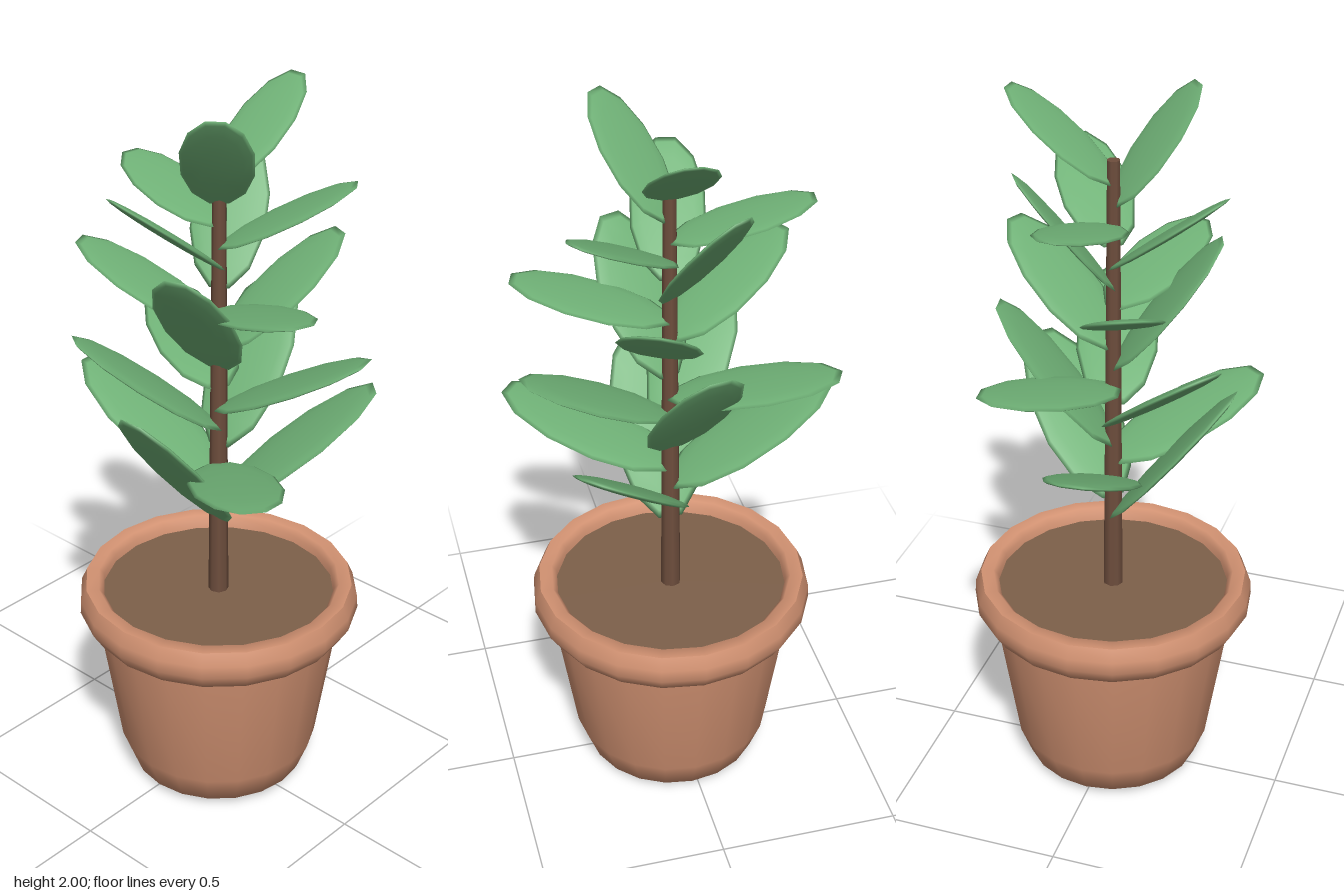
import * as THREE from 'three';
import { toCreasedNormals } from 'three/addons/utils/BufferGeometryUtils.js';

const material = (name, color) => {
  const m = new THREE.MeshStandardMaterial({ color });
  m.name = name;
  return m;
};

export function createModel() {
  const terracotta = material('terracotta', 0xd29272);
  const earth = material('earth', 0x7d604a);
  const bark = material('bark', 0x6e4e3d);
  const green = material('leafGreen', 0x70b277);

  const model = new THREE.Group();
  model.name = 'pottedPlant';
  const plant = new THREE.Group();
  plant.name = 'plant';
  plant.position.x = 0.022; // leaves reach further to one side than the other
  model.add(plant);

  const add = (name, geometry, mat, parent = plant) => {
    const mesh = new THREE.Mesh(geometry, mat);
    mesh.name = name;
    parent.add(mesh);
    return mesh;
  };

  // Pot: tapered wall, rounded foot and thick rolled rim
  const profile = [
    [0, 0], [0.205, 0], [0.247, 0.025], [0.279, 0.11], [0.337, 0.49],
    [0.36, 0.495], [0.388, 0.54], [0.386, 0.575], [0.37, 0.61],
    [0.335, 0.61], [0.322, 0.595], [0.32, 0.54],
  ].map(([r, y]) => new THREE.Vector2(r, y));
  add('pot', toCreasedNormals(new THREE.LatheGeometry(profile, 20), 0.9), terracotta);

  // Soil disc inside the rim
  const soil = add('soil', new THREE.CylinderGeometry(0.322, 0.315, 0.04, 20), earth);
  soil.position.y = 0.555;

  // Stem
  const stem = add('stem', new THREE.CylinderGeometry(0.017, 0.028, 1.28, 8), bark);
  stem.position.y = 1.19;

  // Leaves: flattened twelve-sided ovals spiralling up by the golden angle
  const leaves = new THREE.Group();
  leaves.name = 'leaves';
  plant.add(leaves);
  const pitches = [52, 38, 28, 15].map(THREE.MathUtils.degToRad);
  const flat = Math.cos(Math.PI / 12); // reach of a flat side of the oval
  for (let i = 0; i < 18; i++) {
    const length = 0.535 - 0.0106 * i;
    const width = 0.243 - 0.0039 * i;
    const geometry = new THREE.SphereGeometry(1, 12, 8)
      .rotateY(Math.PI / 12)
      .scale(width / 2 / flat, length * 0.028, length / 2 / flat)
      .translate(0, 0, length / 2);
    const leaf = add('leaf' + (i + 1), geometry, green, leaves);
    leaf.position.y = 0.8 + 0.057 * i;
    leaf.rotation.order = 'YXZ';
    leaf.rotation.set(-pitches[i % 4], THREE.MathUtils.degToRad(137.5 * i), 0);
  }

  return model;
}
